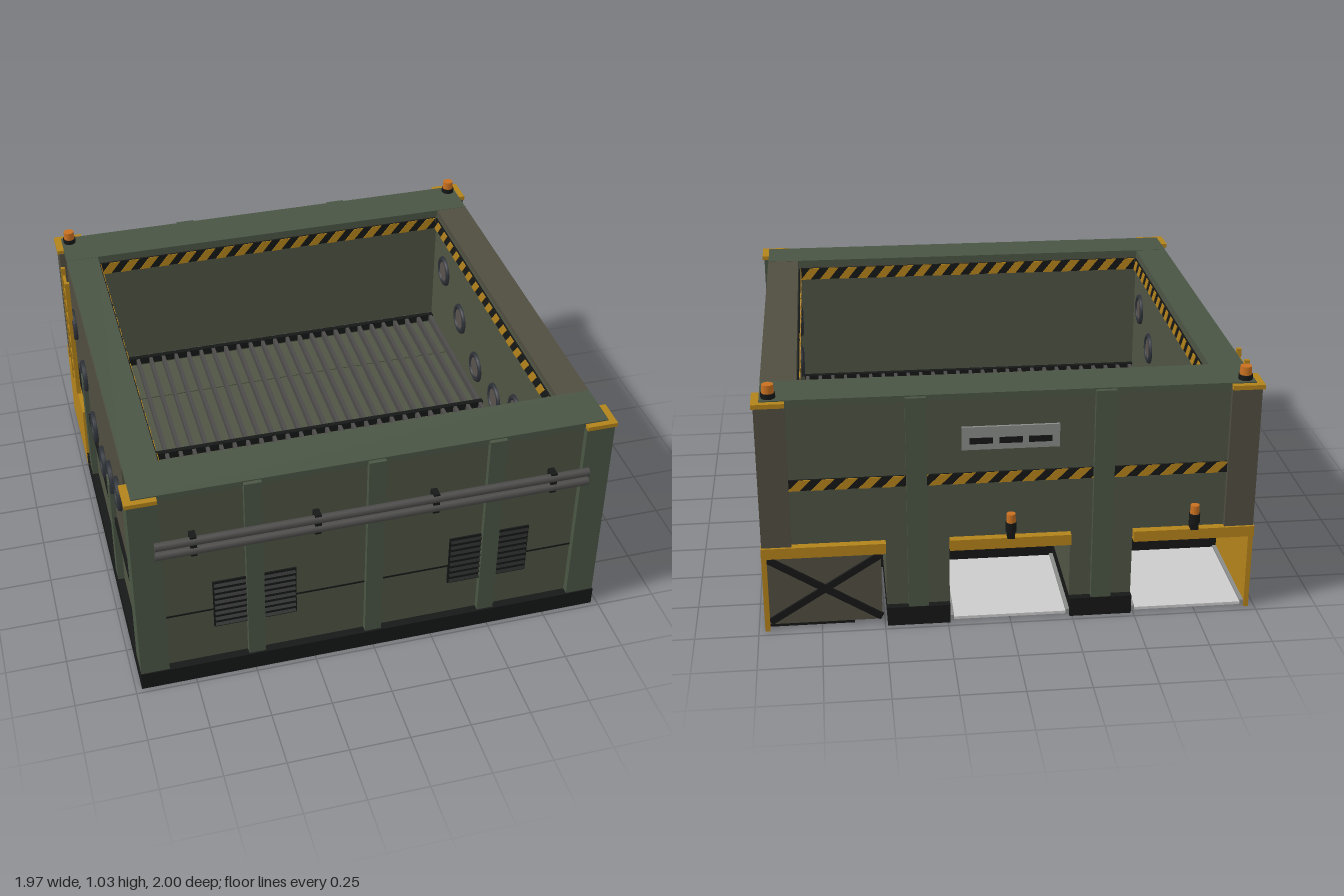
import * as THREE from 'three';

const mat = (color) => new THREE.MeshStandardMaterial({ color });
const M = {
  olive: mat(0x4f5443), green: mat(0x4a5544), brown: mat(0x504d40), black: mat(0x161717),
  yellow: mat(0xb3831b), amber: mat(0xc87020), steel: mat(0x4c4b4a), ring: mat(0x2c3036),
  glass: mat(0x59524e), plate: mat(0xcccccc), sign: mat(0x8a8c8a),
};

export function createModel() {
  const root = new THREE.Group();
  const add = (name, geo, m, parent = root) => {
    const mesh = new THREE.Mesh(geo, m);
    mesh.name = name;
    parent.add(mesh);
    return mesh;
  };
  // Box given by its limits on each axis
  const box = (name, m, x0, x1, y0, y1, z0, z1, parent) => {
    const mesh = add(name, new THREE.BoxGeometry(x1 - x0, y1 - y0, z1 - z0), m, parent);
    mesh.position.set((x0 + x1) / 2, (y0 + y1) / 2, (z0 + z1) / 2);
    return mesh;
  };
  // Same box on both sides of x = 0
  const pair = (name, m, x0, x1, ...rest) => {
    box(name, m, x0, x1, ...rest);
    box(name, m, -x1, -x0, ...rest);
  };

  // Skid base, notched at the back by three bays
  box('skidBase', M.black, -0.975, 0.975, 0, 0.08, -0.49, 0.98);
  pair('skidFoot', M.black, 0.24, 0.49, 0, 0.08, -0.975, -0.49);

  // Lower body and the piers between the bays
  box('lowerBody', M.olive, -0.945, 0.945, 0.08, 0.34, -0.49, 0.945);
  pair('bayPier', M.olive, 0.24, 0.49, 0.08, 0.34, -0.945, -0.49);
  box('bayCeiling', M.olive, -0.945, 0.945, 0.325, 0.34, -0.945, -0.49);

  // Upper walls around the open hopper
  box('frontWall', M.olive, -0.945, 0.945, 0.345, 0.96, 0.76, 0.948);
  box('backWall', M.olive, -0.945, 0.945, 0.34, 0.96, -0.948, -0.76);
  pair('sideWall', M.olive, 0.81, 0.945, 0.345, 0.96, -0.76, 0.76);
  pair('sidePanel', M.brown, 0.94, 0.952, 0.345, 0.97, -0.75, 0.76);
  pair('sideTrim', M.black, 0.94, 0.962, 0.39, 0.43, -0.75, 0.76);
  pair('wallSeam', M.black, 0.94, 0.947, 0.338, 0.346, -0.49, 0.86);
  box('frontSeam', M.black, -0.86, 0.86, 0.338, 0.346, 0.94, 0.95);

  // Top rim
  box('rimFront', M.green, -0.95, 0.95, 0.955, 0.98, 0.755, 0.955);
  box('rimBack', M.green, -0.95, 0.95, 0.955, 0.98, -0.955, -0.755);
  box('rimRight', M.green, -0.95, -0.81, 0.955, 0.979, -0.755, 0.755);
  box('rimLeft', M.brown, 0.81, 0.95, 0.955, 0.979, -0.755, 0.755);

  // Corner posts and their caps
  pair('frontPost', M.green, 0.855, 0.972, 0.08, 0.96, 0.86, 0.975);
  pair('backPost', M.brown, 0.855, 0.972, 0.37, 0.96, -0.97, -0.85);
  for (const z of [0.917, -0.917]) pair('cornerCap', M.yellow, 0.855, 0.98, 0.958, 0.976, z - 0.063, z + 0.063);

  // Ribs
  for (const x of [-0.49, 0, 0.49]) box('frontRib', M.green, x - 0.035, x + 0.035, 0.08, 0.975, 0.93, 0.972);
  pair('backRib', M.green, 0.325, 0.405, 0.08, 0.975, -0.972, -0.93);
  for (const z of [0.37, -0.36]) pair('sideRib', M.green, 0.93, 0.972, 0.08, 0.61, z - 0.035, z + 0.035);

  // Louvred vents
  for (const s of [-1, 1]) {
    box('ventPanel', M.black, s * 0.49 - 0.17, s * 0.49 + 0.17, 0.25, 0.49, 0.94, 0.954);
    for (let i = 0; i < 8; i++) {
      const slat = box('ventSlat', M.black, s * 0.49 - 0.165, s * 0.49 + 0.165, -0.003, 0.003, 0.944, 0.966);
      slat.position.y = 0.265 + i * 0.03;
      slat.rotation.x = 0.5;
    }
  }

  // Front pipes with brackets
  for (const y of [0.751, 0.705]) {
    const pipe = add('frontPipe', new THREE.CylinderGeometry(0.018, 0.018, 1.76, 12), M.steel);
    pipe.rotation.z = Math.PI / 2;
    pipe.position.set(0, y, 0.982);
  }
  for (const x of [-0.73, -0.24, 0.24, 0.73]) box('pipeBracket', M.black, x - 0.013, x + 0.013, 0.68, 0.775, 0.945, 0.99);

  // Portholes in an arc, seen outside and inside
  const holes = [[0.61, 0.73], [0.37, 0.62], [0.13, 0.51], [-0.12, 0.51], [-0.36, 0.62], [-0.61, 0.73]];
  for (const s of [-1, 1]) for (const [z, y] of holes) for (const x of [0.957, 0.81]) {
    const port = new THREE.Group();
    port.name = 'porthole';
    add('portRing', new THREE.TorusGeometry(0.058, 0.014, 8, 24), M.ring, port);
    const glass = add('portGlass', new THREE.CylinderGeometry(0.052, 0.052, 0.014, 24), M.glass, port);
    glass.rotation.x = Math.PI / 2;
    port.rotation.y = Math.PI / 2;
    port.position.set(s * x, y, z);
    root.add(port);
  }

  // Hopper floor and grating
  box('hopperFloor', M.olive, -0.81, 0.81, 0.335, 0.345, -0.485, 0.76);
  box('hopperFloorBack', M.olive, -0.81, 0.81, 0.335, 0.345, -0.76, -0.49);
  for (let i = 0; i < 27; i++) {
    const x = -0.79 + i * 0.0608;
    box('grateBar', M.steel, x - 0.008, x + 0.008, 0.37, 0.405, -0.755, 0.755);
  }
  for (const z of [-0.735, 0, 0.735]) box('grateCrossbar', M.black, -0.805, 0.805, 0.375, 0.408, z - 0.011, z + 0.011);

  // Hazard strip: black band with slanted yellow bars, facing +z before turning
  const hazard = (len, h, x, y, z, ry) => {
    const g = new THREE.Group();
    g.name = 'hazardStrip';
    box('hazardBand', M.black, -len / 2, len / 2, -h / 2, h / 2, -0.004, 0.004, g);
    const n = Math.round(len / 0.09), step = len / n, w = step / 2;
    const bar = new THREE.Shape([[0, -h / 2], [w, -h / 2], [w * 2, h / 2], [w, h / 2]].map((p) => new THREE.Vector2(...p)));
    const geo = new THREE.ExtrudeGeometry(bar, { depth: 0.003, bevelEnabled: false });
    for (let i = 0; i < n; i++) add('hazardBar', geo, M.yellow, g).position.set(-len / 2 + i * step, 0, 0.004);
    g.position.set(x, y, z);
    g.rotation.y = ry;
    root.add(g);
  };
  hazard(1.6, 0.055, 0, 0.915, -0.755, 0);
  hazard(1.6, 0.055, 0, 0.915, 0.755, Math.PI);
  hazard(1.5, 0.055, -0.805, 0.915, 0, Math.PI / 2);
  hazard(1.5, 0.055, 0.805, 0.915, 0, -Math.PI / 2);
  hazard(1.72, 0.045, 0, 0.625, -0.951, Math.PI);

  // Back sign plate with blank dark fields
  box('signPlate', M.sign, -0.19, 0.19, 0.745, 0.84, -0.958, -0.945);
  for (const x of [-0.115, 0, 0.115]) box('signField', M.black, x - 0.045, x + 0.045, 0.77, 0.795, -0.961, -0.955);

  // Bay lintels and yellow side shields
  for (const [a, b] of [[-0.975, -0.49], [-0.24, 0.24], [0.49, 0.975]]) box('bayLintel', M.yellow, a, b, 0.325, 0.37, -0.98, -0.94);
  pair('sideShield', M.yellow, 0.955, 0.975, 0, 0.322, -0.97, -0.487);

  // Open bays with floor plates
  for (const [a, b] of [[-0.955, -0.49], [-0.24, 0.24]]) {
    box('bayFloor', M.plate, a + 0.015, b - 0.015, 0.008, 0.02, -0.965, -0.49);
    for (const x of [a, b - 0.015]) box('bayFloorRail', M.sign, x, x + 0.015, 0.004, 0.028, -0.965, -0.49);
  }

  // Closed bay with a cross-braced door
  box('bayDoor', M.brown, 0.51, 0.955, 0.02, 0.325, -0.95, -0.935);
  box('closedBayFloor', M.black, 0.62, 0.955, 0, 0.02, -0.935, -0.49);
  for (const s of [-1, 1]) {
    const brace = add('doorBrace', new THREE.BoxGeometry(0.52, 0.028, 0.014), M.black);
    brace.position.set(0.732, 0.172, -0.953);
    brace.rotation.z = s * Math.atan2(0.27, 0.43);
  }

  // Ladder on the right side
  for (const z of [-0.71, -0.58]) box('ladderRail', M.yellow, -0.985, -0.965, 0.37, 0.975, z - 0.008, z + 0.008);
  for (let i = 0; i < 9; i++) box('ladderRung', M.yellow, -0.981, -0.969, 0.4 + i * 0.066, 0.412 + i * 0.066, -0.71, -0.58);

  // Warning beacons
  const beacon = (x, y, z, r, hBase, hLamp) => {
    add('beaconBase', new THREE.CylinderGeometry(r, r, hBase, 16), M.black).position.set(x, y + hBase / 2, z);
    add('beaconLamp', new THREE.CylinderGeometry(r * 0.8, r * 0.85, hLamp, 16), M.amber).position.set(x, y + hBase + hLamp / 2, z);
  };
  for (const x of [-0.915, 0.915]) beacon(x, 0.978, -0.917, 0.028, 0.022, 0.034);
  for (const x of [-0.73, 0]) {
    beacon(x, 0.4, -0.978, 0.022, 0.04, 0.036);
    box('beaconBracket', M.black, x - 0.015, x + 0.015, 0.37, 0.41, -0.99, -0.945);
  }
  return root;
}
